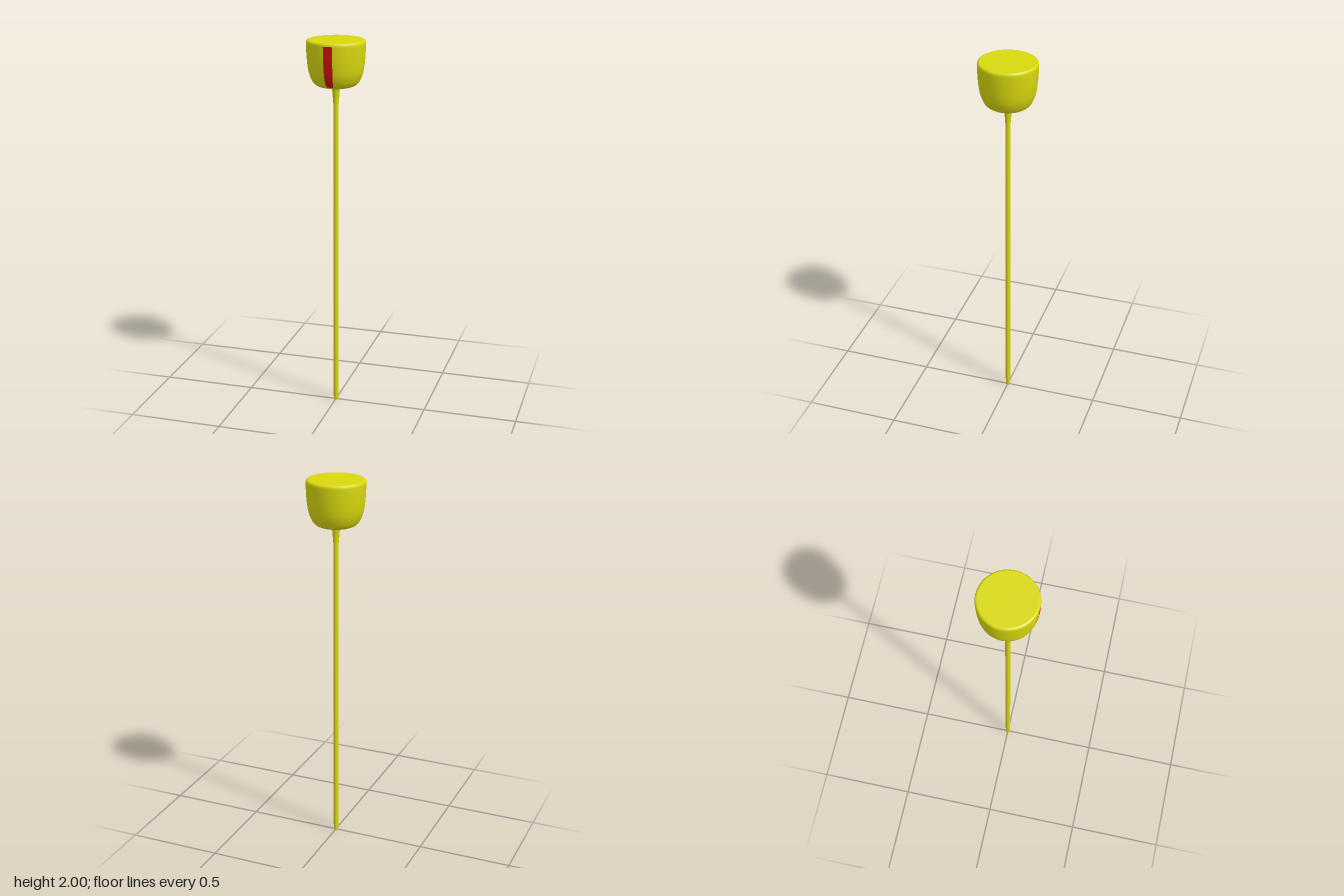
import * as THREE from 'three';

const yellow = new THREE.MeshStandardMaterial({ color: 0xd8d80e });
const red = new THREE.MeshStandardMaterial({ color: 0xcc1010, side: THREE.DoubleSide });
const vec = ([x, y]) => new THREE.Vector2(x, y);

function lathe(name, points, material, segments, start = 0, sweep = Math.PI * 2) {
  const mesh = new THREE.Mesh(new THREE.LatheGeometry(points, segments, start, sweep), material);
  mesh.name = name;
  return mesh;
}

export function createModel() {
  const group = new THREE.Group();
  group.name = 'mallet';

  // Bowl-shaped side of the head, running from the underside to the top face
  const side = new THREE.SplineCurve([
    [0.07, 1.757], [0.097, 1.765], [0.118, 1.782], [0.134, 1.815], [0.143, 1.85],
    [0.149, 1.90], [0.152, 1.95], [0.153, 1.985],
  ].map(vec)).getPoints(28);
  const rim = [[0.152, 1.992], [0.149, 1.997], [0.143, 2]].map(vec);
  group.add(lathe('head', [vec([0, 1.755]), vec([0.04, 1.755]), ...side, ...rim], yellow, 40));

  // Flat top face, kept separate so the rim stays crisp
  const top = new THREE.Mesh(new THREE.CircleGeometry(0.143, 40), yellow);
  top.name = 'headTop';
  top.rotation.x = -Math.PI / 2;
  top.position.y = 2;
  group.add(top);

  // Coloured stripe lying on the front of the head
  const stripe = side.filter((p) => p.y > 1.769).map((p) => vec([p.x + 0.001, p.y]));
  const half = Math.PI / 20;
  group.add(lathe('stripe', stripe, red, 2, -half, half * 2));

  // Slender shaft, slightly tapered at the foot and flared under the head
  const shaft = [
    [0, 0], [0.011, 0], [0.0125, 0.004], [0.0135, 0.1], [0.0135, 1.66],
    [0.0155, 1.69], [0.0185, 1.72], [0.0205, 1.745], [0.024, 1.76],
  ].map(vec);
  group.add(lathe('shaft', shaft, yellow, 20));

  return group;
}
